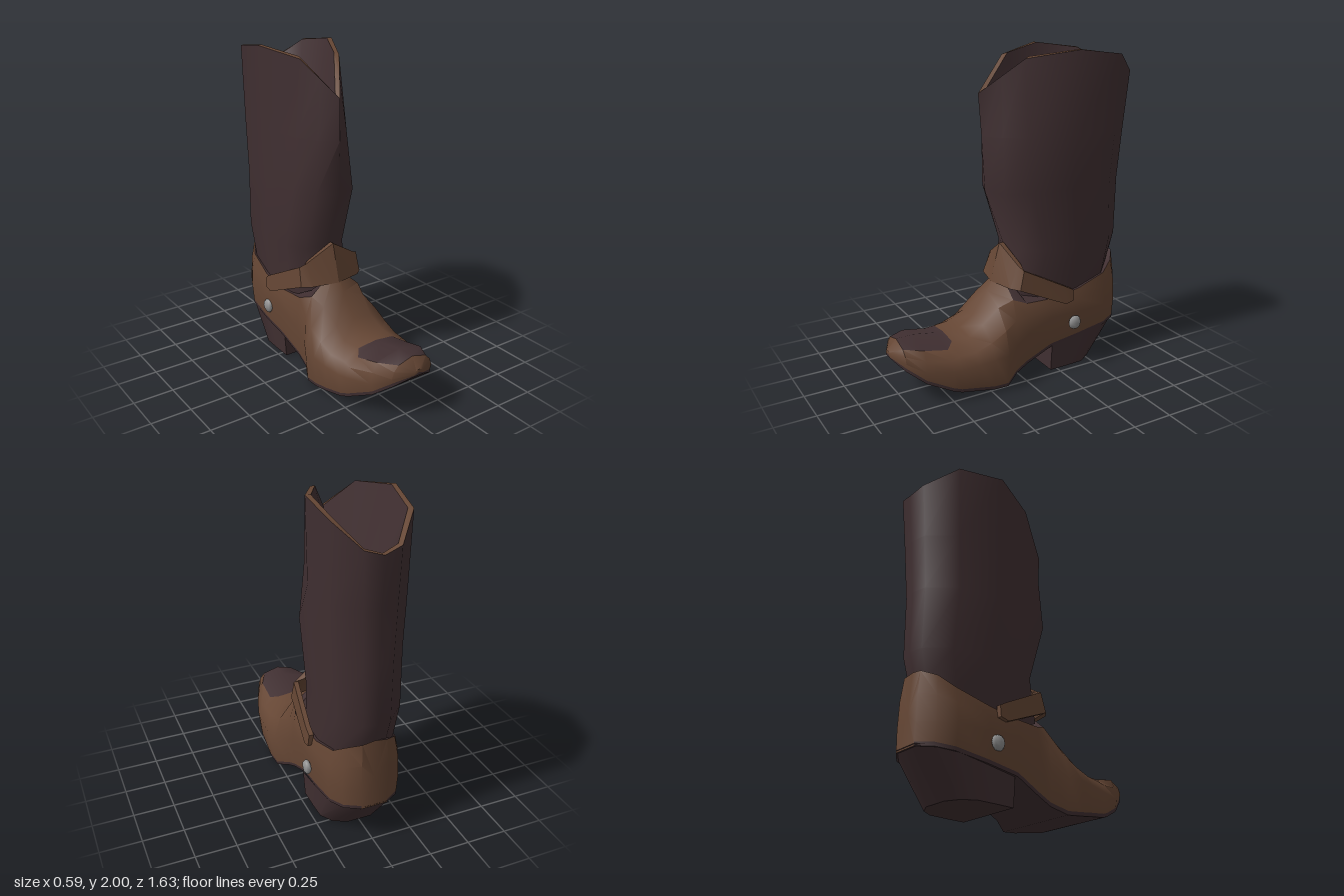
import * as THREE from 'three';
import { toCreasedNormals } from 'three/addons/utils/BufferGeometryUtils.js';

const darkLeather = new THREE.MeshStandardMaterial({ color: 0x402f31 });
darkLeather.name = 'dark leather';
const brownLeather = new THREE.MeshStandardMaterial({ color: 0x654634 });
brownLeather.name = 'brown leather';
const silver = new THREE.MeshStandardMaterial({ color: 0x909090 });
silver.name = 'silver';
const MATS = [darkLeather, brownLeather];
const DARK = 0, BROWN = 1;
const mix = THREE.MathUtils.lerp;

// Skin a grid of cross-sections; pick(i, j) gives the material index of each cell
function loft(name, rows, { closed = false, caps = '', crease = 0.7, pick = () => DARK } = {}) {
  const collapse = row => {
    const c = [0, 1, 2].map(k => row.reduce((s, p) => s + p[k], 0) / row.length);
    return row.map(() => c);
  };
  const all = rows.slice();
  if (caps.includes('start')) all.unshift(collapse(rows[0]));
  if (caps.includes('end')) all.push(collapse(rows[rows.length - 1]));
  const shift = caps.includes('start') ? 1 : 0;
  const n = rows[0].length, buckets = MATS.map(() => []);
  const V = p => new THREE.Vector3(...p);
  const tri = (out, a, b, c) => {
    const area = V(b).sub(V(a)).cross(V(c).sub(V(a))).length();
    if (area > 1e-8) out.push(...a, ...b, ...c);
  };
  for (let i = 0; i < all.length - 1; i++) {
    for (let j = 0; j < (closed ? n : n - 1); j++) {
      const k = (j + 1) % n, out = buckets[pick(i - shift, j)];
      tri(out, all[i][j], all[i + 1][j], all[i][k]);
      tri(out, all[i][k], all[i + 1][j], all[i + 1][k]);
    }
  }
  const geo = new THREE.BufferGeometry();
  geo.setAttribute('position', new THREE.Float32BufferAttribute(buckets.flat(), 3));
  const creased = toCreasedNormals(geo, crease);
  let start = 0;
  buckets.forEach((b, m) => {
    if (b.length) creased.addGroup(start, b.length / 3, m);
    start += b.length / 3;
  });
  const mesh = new THREE.Mesh(creased, MATS);
  mesh.name = name;
  return mesh;
}

// Shaft columns from front to back: [t top, u top, t low, u low, rim height, bottom height]
const COLUMNS = [
  [1, 0, 1, 0, 1.75, 0.62],
  [0.885, 0.26, 0.95, 0.62, 1.85, 0.54],
  [0.77, 0.52, 0.78, 0.92, 1.95, 0.47],
  [0.48, 1, 0.48, 1, 2.0, 0.48],
  [0.18, 0.89, 0.18, 0.91, 1.96, 0.56],
  [0.02, 0.4, 0.02, 0.38, 1.84, 0.64],
  [0, 0, 0, 0, 1.81, 0.66],
];

// One ring round the leg; inset moves it inward and lifts the front of the rim
function shaftRing({ y, f, hw, front, back }, inset = 0) {
  const point = ([t0, u0, t1, u1, rim, low], side) => {
    const t = mix(t0, t1, f), u = mix(u0, u1, f);
    const skew = (0.035 - 0.07 * t) * (1 - f * 0.6);
    const x = -0.016 + skew + side * u * (hw - inset);
    const lift = inset * 1.2 * Math.max(0, t - 0.5);
    const height = y === 'rim' ? rim + lift : y === 'low' ? low : y;
    return [x, height, mix(back + inset, front - inset * 1.6, t)];
  };
  const plus = COLUMNS.map(c => point(c, 1));
  const minus = COLUMNS.slice(0, -1).reverse().map(c => point(c, -1));
  return [...plus, ...minus];
}

const RINGS = [
  { y: 'rim', f: 0, hw: 0.26, front: 0.16, back: -0.82 },
  { y: 1.5, f: 0.45, hw: 0.248, front: 0.145, back: -0.793 },
  { y: 1.17, f: 0.85, hw: 0.236, front: 0.13, back: -0.77 },
  { y: 0.8, f: 1, hw: 0.221, front: 0.0, back: -0.768 },
  { y: 'low', f: 1, hw: 0.203, front: 0.05, back: -0.728 },
];

// Foot stations from toe to heel:
// [z, sole y, widest half-width, widest y, top edge half-width, top edge y, centre y]
const FOOT = [
  [0.815, 0.28, 0.032, 0.295, 0.02, 0.312, 0.318],
  [0.76, 0.225, 0.145, 0.275, 0.1, 0.35, 0.378],
  [0.65, 0.137, 0.202, 0.21, 0.162, 0.338, 0.377],
  [0.5, 0.068, 0.257, 0.2, 0.17, 0.306, 0.348],
  [0.45, 0.052, 0.27, 0.2, 0.125, 0.33, 0.344],
  [0.34, 0.035, 0.285, 0.21, 0.14, 0.33, 0.342],
  [0.24, 0.02, 0.294, 0.22, 0.13, 0.385, 0.4],
  [0.14, 0.01, 0.286, 0.22, 0.15, 0.48, 0.54],
  [0.05, 0.05, 0.236, 0.25, 0.175, 0.52, 0.67],
  [-0.03, 0.09, 0.23, 0.3, 0.208, 0.492, 0.56],
  [-0.2, 0.165, 0.24, 0.37, 0.22, 0.49, 0.48],
  [-0.4, 0.195, 0.24, 0.37, 0.22, 0.52, 0.5],
  [-0.6, 0.225, 0.226, 0.37, 0.197, 0.58, 0.52],
  [-0.7, 0.24, 0.178, 0.37, 0.152, 0.64, 0.6],
  [-0.762, 0.25, 0.085, 0.38, 0.075, 0.675, 0.685],
];

// Arch section: sole edge, sole band, widest point, shoulder, top edge, centre, then mirrored
function footSection([z, ys, w, y, wt, yt, yc]) {
  const ankle = Math.max(0, 1 - Math.abs(z + 0.25) / 0.5);
  const cx = Math.max(0, z - 0.35) * 0.07 - 0.018 * ankle;
  const band = ys + Math.min(0.022, (y - ys) * 0.5);
  const half = [
    [w * 0.94, ys], [w * 0.95, band], [w, y],
    [mix(w, wt, 0.3), mix(y, yt, 0.55)], [wt, yt],
  ];
  const lean = h => (z < -0.65 ? Math.max(0, h - 0.5) * 0.11 : 0);
  const side = s => half.map(([x, h]) => [cx + s * x, h, z + lean(h)]);
  return [...side(1), [cx, yc, z + lean(yc)], ...side(-1).reverse()];
}

// Dark sole and edge band, dark toe cap, dark insole inside the shaft
function footColour(i, j) {
  if (i === FOOT.length - 1) return BROWN;
  if (j === 0 || j >= 9) return DARK;
  const topStrip = j === 4 || j === 5;
  const toeCap = i >= 1 && i <= 3;
  return topStrip && (toeCap || i >= 8) ? DARK : BROWN;
}

// Stacked heel, sloping in at the back
function heelRing(front, back, hw, y) {
  const half = [[1, 1], [1, 0.65], [0.98, 0.33], [0.75, 0.12], [0.36, 0]];
  const side = s => half.map(([u, t]) => [s * hw * u - 0.004, y(t), mix(back, front, t)]);
  return [...side(1), ...side(-1).reverse()];
}

// Harness strap over the instep: [x, top y, top z, bottom y, bottom z]
const STRAP = [
  [0.248, 0.53, -0.345, 0.46, -0.345],
  [0.248, 0.56, -0.29, 0.447, -0.29],
  [0.212, 0.705, -0.01, 0.585, 0.02],
  [0.17, 0.725, 0.005, 0.59, 0.065],
  [0, 0.83, 0.042, 0.592, 0.105],
];

function strapSection([x, yt, zt, yb, zb], s) {
  const T = 0.03, onSide = x > 0.2;
  const dx = onSide ? T : T * (x / 0.25), dz = onSide ? 0 : T;
  const cx = -0.016, flare = onSide ? 0.008 : 0;
  return [
    [cx + s * x, yt, zt],
    [cx + s * (x + flare), yb, zb],
    [cx + s * (x + flare - dx), yb, zb - dz],
    [cx + s * (x - dx), yt, zt - dz],
  ];
}

export function createModel() {
  const boot = new THREE.Group();
  boot.name = 'boot';

  // Leg, funnel-shaped lining and rim trim
  const outer = RINGS.map(r => shaftRing(r));
  const innerRim = shaftRing(RINGS[0], 0.03);
  const liningBase = innerRim.map(() => [-0.02, 1.2, -0.3]);
  boot.add(loft('shaft', outer, { crease: 1.1 }));
  boot.add(loft('lining', [liningBase, innerRim], { crease: 1.1 }));
  boot.add(loft('rimTrim', [innerRim, outer[0]], { pick: () => BROWN }));

  // Foot with sole
  boot.add(loft('foot', FOOT.map(footSection), {
    closed: true, caps: 'start end', crease: 0.75, pick: footColour,
  }));

  // Heel
  boot.add(loft('heel', [
    heelRing(-0.205, -0.764, 0.222, t => 0.262 - 0.09 * t),
    heelRing(-0.205, -0.56, 0.21, () => 0),
  ], { closed: true, caps: 'end', crease: 0.6 }));

  // Strap
  const strapRows = [
    ...STRAP.map(p => strapSection(p, 1)),
    ...STRAP.slice(0, -1).reverse().map(p => strapSection(p, -1)),
  ];
  boot.add(loft('strap', strapRows, {
    closed: true, caps: 'start end', crease: 0.4, pick: () => BROWN,
  }));

  // Studs on both sides
  for (const [name, x] of [['leftStud', 0.25], ['rightStud', -0.255]]) {
    const stud = new THREE.Mesh(new THREE.SphereGeometry(0.045, 8, 6), silver);
    stud.name = name;
    stud.scale.x = 0.55;
    stud.position.set(x, 0.315, -0.35);
    boot.add(stud);
  }
  return boot;
}
